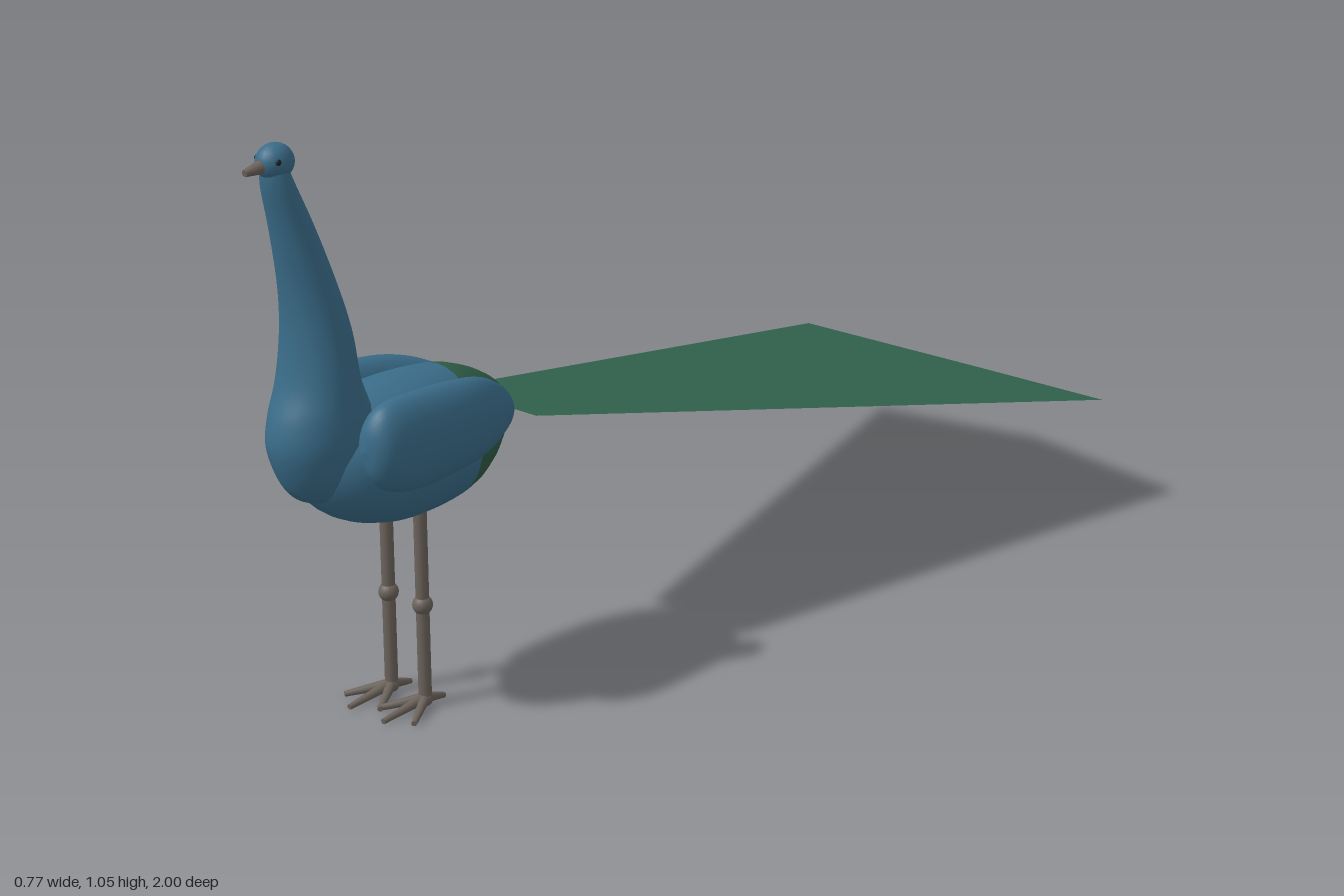
import * as THREE from 'three';

const material = (name, color, side = THREE.FrontSide) => {
  const m = new THREE.MeshStandardMaterial({ color, side });
  m.name = name;
  return m;
};

// Smooth loft of elliptical rings. Row: [position on axis, centre, half width, half depth, x offset]
function loft(rows, axis, splitRow = rows.length - 1, sides = 32, steps = 6) {
  const centre = new THREE.CatmullRomCurve3(
    rows.map(([t, c, , , x = 0]) => new THREE.Vector3(x, c, t)), false, 'catmullrom');
  const size = new THREE.CatmullRomCurve3(
    rows.map(([, , a, b]) => new THREE.Vector3(a, b, 0)), false, 'catmullrom');
  const n = (rows.length - 1) * steps;
  const pos = [], index = [];
  for (let i = 0; i <= n; i++) {
    const c = centre.getPoint(i / n), s = size.getPoint(i / n);
    for (let j = 0; j < sides; j++) {
      const w = (j / sides) * Math.PI * 2;
      const u = c.x + Math.max(0, s.x) * Math.cos(w);
      const v = c.y + Math.max(0, s.y) * Math.sin(w);
      pos.push(...(axis === 'z' ? [u, v, c.z] : [u, c.z, v]));
    }
  }
  for (let i = 0; i < n; i++) {
    for (let j = 0; j < sides; j++) {
      const k = (j + 1) % sides;
      const p = i * sides + j, q = i * sides + k, r = p + sides, s = q + sides;
      index.push(p, r, q, q, r, s);
    }
  }
  const g = new THREE.BufferGeometry();
  g.setAttribute('position', new THREE.Float32BufferAttribute(pos, 3));
  g.setIndex(index);
  g.computeVertexNormals();
  const cut = splitRow * steps * sides * 6;
  g.addGroup(0, cut, 0);
  if (cut < index.length) g.addGroup(cut, index.length - cut, 1);
  return g;
}

// Tapered round bar between two points
function bar(from, to, r0, r1) {
  const a = new THREE.Vector3(...from), b = new THREE.Vector3(...to);
  const dir = b.clone().sub(a);
  const g = new THREE.CylinderGeometry(r1, r0, dir.length(), 12);
  g.applyQuaternion(new THREE.Quaternion().setFromUnitVectors(
    new THREE.Vector3(0, 1, 0), dir.clone().normalize()));
  const mid = a.add(b).multiplyScalar(0.5);
  return g.translate(mid.x, mid.y, mid.z);
}

export function createModel() {
  const blue = material('blue plumage', 0x3a6c89);
  const green = material('green rump', 0x2f5c45);
  const train = material('green train', 0x32634f, THREE.DoubleSide);
  const horn = material('grey horn', 0x6b625b);
  const black = material('dark eye', 0x1c2226);

  const model = new THREE.Group();
  const add = (name, geometry, mat, parent = model) => {
    const mesh = new THREE.Mesh(geometry, mat);
    mesh.name = name;
    parent.add(mesh);
    return mesh;
  };
  const ball = (r, x, y, z, sx = 1, sy = 1, sz = 1) =>
    new THREE.SphereGeometry(r, 20, 14).scale(sx, sy, sz).translate(x, y, z);

  // Body, blue in front and green at the rump
  add('body', loft([
    [0.91, 0.495, 0, 0], [0.895, 0.492, 0.055, 0.055], [0.85, 0.485, 0.1, 0.093],
    [0.78, 0.48, 0.118, 0.117], [0.7, 0.478, 0.122, 0.126], [0.6, 0.479, 0.108, 0.12],
    [0.54, 0.481, 0.086, 0.1], [0.49, 0.486, 0.055, 0.068], [0.46, 0.49, 0.028, 0.036],
    [0.45, 0.49, 0, 0],
  ], 'z', 5), [blue, green]);

  // Neck swelling into the breast
  add('neck', loft([
    [0.425, 0.875, 0, 0], [0.44, 0.873, 0.04, 0.045], [0.475, 0.87, 0.066, 0.075],
    [0.53, 0.868, 0.08, 0.095], [0.58, 0.867, 0.08, 0.09], [0.64, 0.867, 0.074, 0.067],
    [0.72, 0.868, 0.064, 0.056], [0.8, 0.881, 0.053, 0.046], [0.9, 0.908, 0.04, 0.036],
    [0.98, 0.934, 0.03, 0.027], [1.02, 0.942, 0.02, 0.02],
  ], 'y'), blue);

  // Head and beak
  add('head', ball(0.031, 0, 1.019, 0.938, 0.94, 1, 1.08), blue);
  add('beak', bar([0, 1.017, 0.955], [0, 1.011, 1.0], 0.014, 0.006), horn);

  for (const s of [1, -1]) {
    const side = s > 0 ? 'left' : 'right';
    add(side + 'Eye', ball(0.005, s * 0.026, 1.024, 0.952, 0.7), black);

    // Folded wing
    add(side + 'Wing', loft([
      [0.86, 0.53, 0, 0, 0.095], [0.85, 0.53, 0.026, 0.045, 0.1],
      [0.82, 0.53, 0.04, 0.075, 0.103], [0.75, 0.525, 0.044, 0.085, 0.102],
      [0.65, 0.525, 0.044, 0.079, 0.098], [0.58, 0.52, 0.041, 0.068, 0.084],
      [0.52, 0.51, 0.034, 0.048, 0.06], [0.48, 0.5, 0.024, 0.028, 0.04],
      [0.455, 0.495, 0, 0, 0.03],
    ].map(([t, c, a, b, x]) => [t, c, a, b, x * s]), 'z'), blue);

    // Leg with knee and four toes
    const leg = new THREE.Group();
    leg.name = side + 'Leg';
    leg.position.set(s * 0.043, 0, 0.69);
    model.add(leg);
    add('shank', bar([0, 0.012, 0], [0, 0.38, 0], 0.012, 0.012), horn, leg);
    add('knee', ball(0.018, 0, 0.193, 0), horn, leg);
    add('ankle', ball(0.014, 0, 0.016, 0), horn, leg);
    for (const [x, z] of [[0, 0.1], [0.046, 0.07], [-0.046, 0.07], [0, -0.045]]) {
      add('toe', bar([0, 0.018, 0], [x, 0.007, z], 0.01, 0.005), horn, leg);
    }
  }

  // Long flat train, widening to a pointed end
  const root = [0, 0.497, 0.475], tip = [0, 0.19, -1];
  const points = [];
  for (const s of [1, -1]) {
    const inner = [s * 0.112, 0.497, 0.475], outer = [s * 0.386, 0.235, -0.888];
    const tris = [[root, inner, outer], [root, outer, tip]];
    for (const [a, b, c] of tris) points.push(...a, ...(s > 0 ? b : c), ...(s > 0 ? c : b));
  }
  const fan = new THREE.BufferGeometry();
  fan.setAttribute('position', new THREE.Float32BufferAttribute(points, 3));
  fan.computeVertexNormals();
  add('train', fan, train);

  return model;
}
